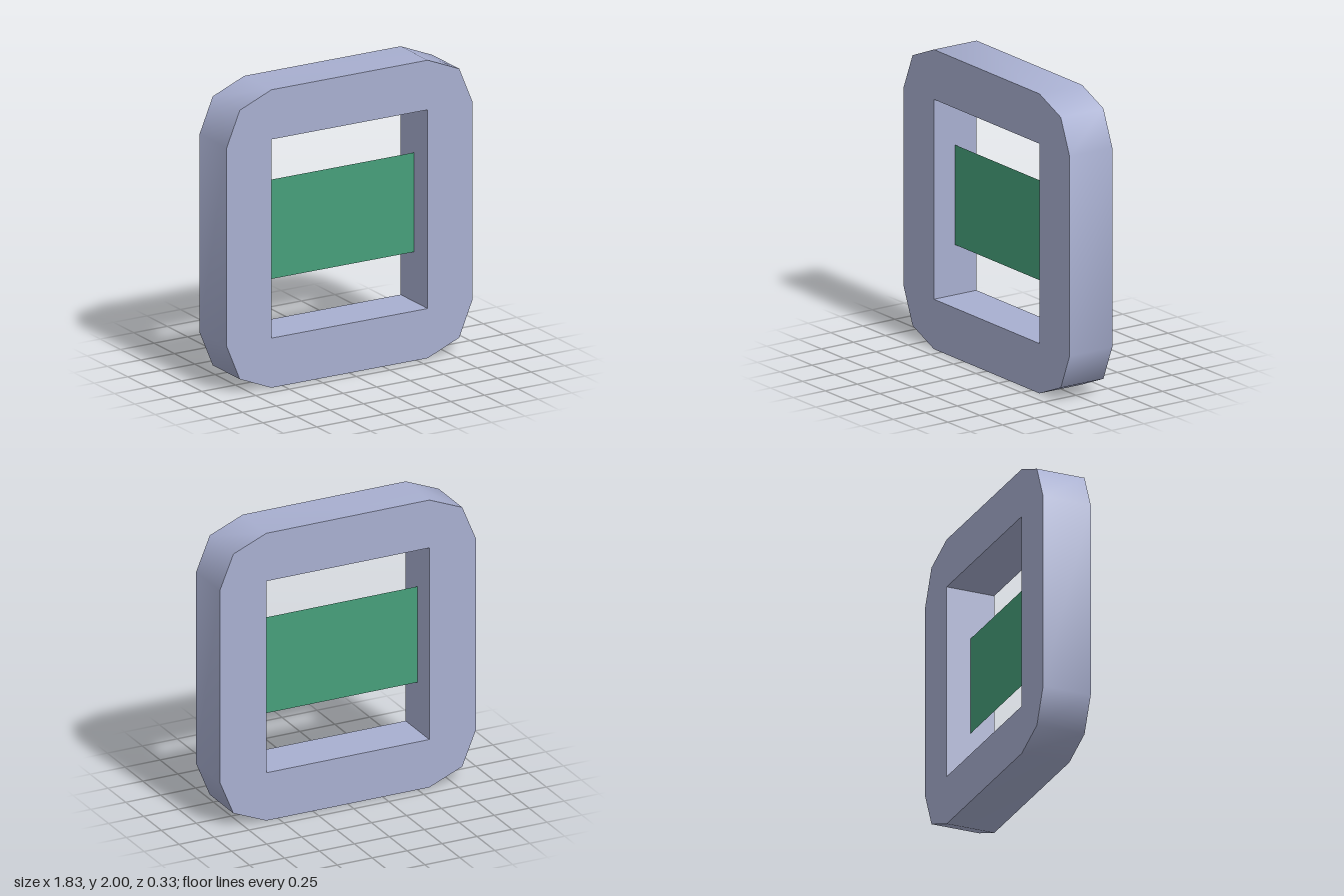
import * as THREE from 'three';
import { toCreasedNormals } from 'three/addons/utils/BufferGeometryUtils.js';

export function createModel() {
  const model = new THREE.Group();
  model.name = 'framedPanel';

  const frameBlue = new THREE.MeshStandardMaterial({ color: 0xa8afd0 });
  frameBlue.name = 'pale blue';
  const panelGreen = new THREE.MeshStandardMaterial({ color: 0x469f7a, side: THREE.DoubleSide });
  panelGreen.name = 'green';

  const innerX = 0.583, innerY = 0.667; // half-size of the opening
  const radius = 0.333;                 // width of the frame band
  const depth = 0.333;

  // Outline with two-segment rounded corners, counter-clockwise from the upper right
  const outline = [];
  [[1, 1], [-1, 1], [-1, -1], [1, -1]].forEach(([sx, sy], corner) => {
    for (let i = 0; i <= 2; i++) {
      const a = corner * Math.PI / 2 + i * Math.PI / 4;
      outline.push(new THREE.Vector2(
        sx * innerX + radius * Math.cos(a), sy * innerY + radius * Math.sin(a)));
    }
  });
  const shape = new THREE.Shape(outline);

  // Rectangular opening
  shape.holes.push(new THREE.Path([
    new THREE.Vector2(-innerX, -innerY), new THREE.Vector2(-innerX, innerY),
    new THREE.Vector2(innerX, innerY), new THREE.Vector2(innerX, -innerY),
  ]));

  // Frame: rim is smooth around the corners, sharp at the front and back
  const frameGeometry = new THREE.ExtrudeGeometry(shape, { depth, bevelEnabled: false });
  frameGeometry.translate(0, 1, -depth / 2);
  const frame = new THREE.Mesh(toCreasedNormals(frameGeometry, Math.PI / 3), frameBlue);
  frame.name = 'frame';

  // Flat panel across the middle of the opening
  const panel = new THREE.Mesh(new THREE.PlaneGeometry(innerX * 2, 0.667), panelGreen);
  panel.name = 'panel';
  panel.position.y = 1;

  model.add(frame, panel);
  return model;
}
